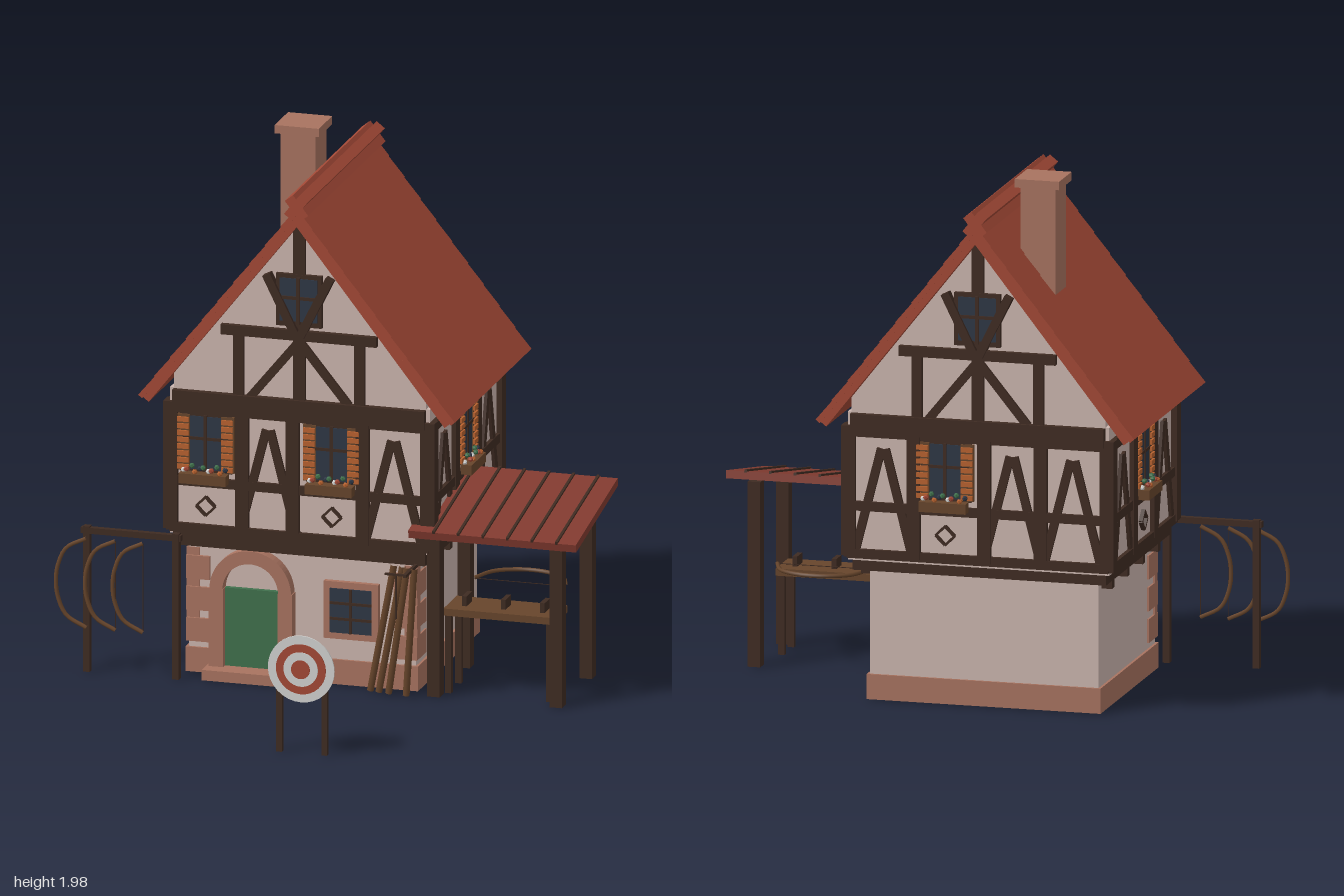
import * as THREE from 'three';

const mat = (name, color, side = THREE.FrontSide) => {
  const m = new THREE.MeshStandardMaterial({ color, side });
  m.name = name;
  return m;
};

export function createModel() {
  const plaster = mat('plaster', 0xcbb5ae), timber = mat('timber', 0x3f2b22), tile = mat('roofTile', 0xa34936);
  const brick = mat('brick', 0xa87360), orange = mat('shutterOrange', 0xb8622f), green = mat('green', 0x40704c);
  const glass = mat('glass', 0x2e3745), white = mat('white', 0xd2d2d0), wood = mat('wood', 0x67452b);
  const porchTile = mat('porchTile', 0x813a2f);

  const root = new THREE.Group();
  root.name = 'timberHouse';
  const group = (name, parent = root) => {
    const g = new THREE.Group();
    g.name = name;
    parent.add(g);
    return g;
  };
  const add = (parent, name, geo, m, x = 0, y = 0, z = 0) => {
    const mesh = new THREE.Mesh(geo, m);
    mesh.name = name;
    mesh.position.set(x, y, z);
    parent.add(mesh);
    return mesh;
  };
  // box given by its limits on each axis
  const box = (p, name, m, x0, x1, y0, y1, z0, z1) =>
    add(p, name, new THREE.BoxGeometry(x1 - x0, y1 - y0, z1 - z0), m, (x0 + x1) / 2, (y0 + y1) / 2, (z0 + z1) / 2);
  // straight bar between two points on a wall face
  const bar = (p, name, x0, y0, x1, y1, w, z0 = -0.01, z1 = 0.015, m = timber) => {
    const b = box(p, name, m, -w / 2, w / 2, 0, Math.hypot(x1 - x0, y1 - y0), z0, z1);
    b.position.set((x0 + x1) / 2, (y0 + y1) / 2, (z0 + z1) / 2);
    b.rotation.z = Math.atan2(x0 - x1, y1 - y0);
  };
  const CX = -0.08, CZ = -0.4;

  // ground floor with plinth and corner stones
  const ground = group('groundFloor');
  box(ground, 'groundWall', plaster, -0.52, 0.355, 0.001, 0.5, -0.77, 0);
  box(ground, 'plinth', brick, -0.53, 0.365, 0.002, 0.097, -0.78, 0.01);
  for (const s of [-1, 1]) {
    const edge = s < 0 ? -0.527 : 0.362, inner = edge - s * 0.09, narrow = edge - s * 0.05;
    for (let i = 0; i < 3; i++) {
      const y = 0.12 + i * 0.12;
      box(ground, 'cornerStone', brick, Math.min(edge, inner), Math.max(edge, inner), y, y + 0.09, -0.11, 0.012);
      box(ground, 'smallCornerStone', brick, Math.min(edge, narrow), Math.max(edge, narrow), y + 0.09, y + 0.12, -0.03, 0.004);
    }
  }

  // arched door
  const door = group('door');
  box(door, 'doorPanel', green, -0.375, -0.165, 0.03, 0.34, 0, 0.02);
  box(door, 'doorStep', brick, -0.44, -0.1, 0, 0.04, 0, 0.1);
  for (const x of [-0.43, -0.165]) box(door, 'doorJamb', brick, x, x + 0.055, 0.03, 0.34, 0, 0.045);
  const arch = new THREE.Shape();
  arch.absarc(0, 0, 0.157, 0, Math.PI, false);
  arch.absarc(0, 0, 0.107, Math.PI, 0, true);
  add(door, 'doorArch', new THREE.ExtrudeGeometry(arch, { depth: 0.045, bevelEnabled: false, curveSegments: 16 }), brick, -0.27, 0.338, 0);

  // ground floor window
  const low = group('groundWindow');
  box(low, 'windowSurround', brick, 0.005, 0.215, 0.18, 0.4, 0, 0.02);
  box(low, 'windowPane', glass, 0.03, 0.19, 0.205, 0.375, 0.018, 0.025);
  box(low, 'windowMullion', timber, 0.105, 0.115, 0.205, 0.375, 0.02, 0.03);
  for (const y of [0.255, 0.315]) box(low, 'windowBar', timber, 0.03, 0.19, y, y + 0.01, 0.02, 0.029);

  // jettied upper floor
  const upper = group('upperFloor');
  box(upper, 'upperWall', plaster, -0.58, 0.42, 0.54, 1.1, -0.84, 0.04);
  box(upper, 'jettyBeam', timber, -0.565, 0.405, 0.5, 0.56, -0.83, 0.055);
  for (const z of [-0.085, -0.295, -0.505, -0.715]) box(upper, 'joist', timber, -0.56, 0.4, 0.465, 0.5, z - 0.016, z + 0.016);
  for (const x of [-0.575, 0.415]) for (const z of [-0.83, 0.03])
    box(upper, 'cornerPost', timber, x - 0.027, x + 0.027, 0.56, 1.05, z - 0.027, z + 0.027);

  const flowerColors = [white, tile, green, orange, glass, green];
  const shutteredWindow = (p, x) => {
    const g = group('shutteredWindow', p);
    g.position.x = x;
    box(g, 'windowFrame', timber, -0.1, 0.1, 0.785, 1.01, -0.01, 0.008);
    box(g, 'windowPane', glass, -0.09, 0.09, 0.795, 1.0, 0.004, 0.011);
    box(g, 'windowMullion', timber, -0.006, 0.006, 0.79, 1.005, 0.005, 0.016);
    box(g, 'windowBar', timber, -0.09, 0.09, 0.91, 0.921, 0.005, 0.015);
    for (const s of [-1, 1]) {
      box(g, 'shutterBack', wood, s * 0.085 - 0.025, s * 0.085 + 0.025, 0.79, 1.005, 0, 0.014);
      for (let i = 0; i < 8; i++)
        box(g, 'shutterSlat', orange, s * 0.085 - 0.022, s * 0.085 + 0.022, 0.795 + i * 0.026, 0.813 + i * 0.026, 0.01, 0.022);
    }
    box(g, 'flowerBox', wood, -0.09, 0.09, 0.75, 0.788, 0.012, 0.055);
    for (let i = 0; i < 11; i++)
      add(g, 'flower', new THREE.IcosahedronGeometry(0.011, 0), flowerColors[i % 6], -0.08 + i * 0.016, 0.795 + (i % 3) * 0.009, 0.025 + (i % 2) * 0.018);
    // diamond ornament under the sill
    const d = 0.036, y = 0.655;
    for (const a of [-1, 1]) for (const b of [-1, 1]) bar(g, 'diamond', a * d, y, 0, y + b * d, 0.009);
  };
  const braces = (p, x) => {
    for (const s of [-1, 1]) bar(p, 'angledBrace', x + s * 0.008, 0.968, x + s * 0.108, 0.575, 0.032, -0.01, 0.012);
  };
  // one framed face: posts, rails, then bays
  const framedFace = (name, pos, turn, half, posts, windows, crosses) => {
    const g = group(name, upper);
    g.position.set(...pos);
    g.rotation.y = turn;
    box(g, 'topRail', timber, -half, half, 1.01, 1.05, -0.01, 0.016);
    box(g, 'middleRail', timber, -half, half, 0.73, 0.765, -0.01, 0.014);
    box(g, 'bottomRail', timber, -half, half, 0.55, 0.585, -0.01, 0.016);
    for (const x of posts) box(g, 'post', timber, x - 0.025, x + 0.025, 0.56, 1.05, -0.01, 0.018);
    windows.forEach(x => shutteredWindow(g, x));
    crosses.forEach(x => braces(g, x));
    return g;
  };
  const front = framedFace('frontFrame', [CX, 0, 0.04], 0, 0.5, [-0.22, -0.025, 0.245], [-0.36, 0.125], [-0.12, 0.362]);
  const back = framedFace('backFrame', [CX, 0, -0.84], Math.PI, 0.5, [-0.245, 0.025, 0.24], [-0.125], [-0.362, 0.13, 0.362]);
  framedFace('leftFrame', [0.42, 0, CZ], Math.PI / 2, 0.44, [-0.14, 0.14], [0], [-0.28, 0.28]);
  framedFace('rightFrame', [-0.58, 0, CZ], -Math.PI / 2, 0.44, [-0.14, 0.14], [0], [-0.28, 0.28]);

  // gable prism with framing on both ends
  const gable = new THREE.Shape([[-0.485, 1.09], [0.485, 1.09], [0.485, 1.155], [0, 1.775], [-0.485, 1.155]].map(p => new THREE.Vector2(...p)));
  add(upper, 'gableWall', new THREE.ExtrudeGeometry(gable, { depth: 0.88, bevelEnabled: false }), plaster, CX, 0, -0.84);
  for (const g of [front, back]) {
    box(g, 'gableSill', timber, -0.485, 0.485, 1.025, 1.097, -0.01, 0.026);
    box(g, 'kingPost', timber, -0.023, 0.023, 1.09, 1.77, -0.01, 0.015);
    box(g, 'collarBeam', timber, -0.3, 0.3, 1.327, 1.365, -0.01, 0.022);
    for (const s of [-1, 1]) {
      box(g, 'gablePost', timber, s * 0.233 - 0.02, s * 0.233 + 0.02, 1.09, 1.33, -0.01, 0.015);
      bar(g, 'gableBrace', s * 0.19, 1.09, s * 0.01, 1.31, 0.032, -0.01, 0.013);
      bar(g, 'windowBrace', s * 0.122, 1.575, s * 0.008, 1.345, 0.032, 0, 0.032);
    }
    box(g, 'atticFrame', timber, -0.088, 0.088, 1.38, 1.58, -0.01, 0.017);
    box(g, 'atticPane', glass, -0.072, 0.072, 1.4, 1.565, 0.013, 0.02);
    box(g, 'atticMullion', timber, -0.007, 0.007, 1.39, 1.57, 0.014, 0.026);
    box(g, 'atticBar', timber, -0.08, 0.08, 1.485, 1.497, 0.014, 0.025);
  }

  // steep roof laid in courses, mirrored about the ridge
  const roof = group('roof');
  for (const turn of [0, Math.PI]) {
    const side = group('roofSide', roof), slope = group('roofSlope', side);
    side.position.set(CX, 1.848, -0.4025);
    side.rotation.y = turn;
    slope.rotation.z = -0.904;
    const n = 10, step = 0.984 / n;
    box(slope, 'roofBoard', tile, 0, 0.98, -0.047, -0.012, -0.486, 0.486);
    for (let i = 0; i < n; i++) {
      const c = box(slope, 'tileCourse', tile, 0, step + 0.004, -0.02, 0, -0.4875, 0.4875);
      c.position.set((i + 0.5) * step, -0.012, 0);
      c.rotation.z = 0.035;
    }
    box(slope, 'ridgeTile', tile, -0.045, 0.05, -0.02, 0.02, -0.492, 0.492);
  }
  const chimney = group('chimney');
  box(chimney, 'chimneyStack', brick, -0.32, -0.185, 1.3, 1.95, -0.645, -0.505);
  box(chimney, 'chimneyCap', brick, -0.338, -0.168, 1.943, 1.975, -0.66, -0.49);

  // lean-to porch
  const porch = group('porch');
  for (const [x, z] of [[0.438, 0.028], [0.908, 0.028], [0.908, -0.355], [0.438, -0.355]])
    box(porch, 'porchPost', timber, x - 0.024, x + 0.024, 0, z > 0 ? 0.64 : 0.7, z - 0.026, z + 0.026);
  const cover = group('porchRoof', porch);
  cover.position.set(0, 0.685, -0.1675);
  cover.rotation.x = 0.19;
  box(cover, 'porchBoards', porchTile, 0.355, 1, -0.016, 0.014, -0.272, 0.272);
  for (let i = 0; i < 6; i++) box(cover, 'porchBatten', timber, 0.448 + i * 0.0945, 0.458 + i * 0.0945, 0.01, 0.021, -0.273, 0.273);

  // curved bow limb bulging toward -x, with its string
  const bow = (p, depth, half, name) => {
    const g = group(name, p);
    const pts = [-1, -0.75, -0.35, 0, 0.35, 0.75, 1].map(t => new THREE.Vector3(-depth * Math.sqrt(1 - t * t), half * t, 0));
    add(g, 'bowLimb', new THREE.TubeGeometry(new THREE.CatmullRomCurve3(pts), 24, 0.008, 6), wood);
    add(g, 'bowString', new THREE.CylinderGeometry(0.0015, 0.0015, half * 2, 4), timber);
    return g;
  };

  // workbench with a bow lying on blocks
  const bench = group('workbench');
  box(bench, 'benchTop', wood, 0.46, 0.885, 0.3, 0.327, -0.17, 0);
  for (const x of [0.475, 0.865]) for (const z of [-0.15, -0.02]) box(bench, 'benchLeg', timber, x - 0.012, x + 0.012, 0, 0.3, z - 0.012, z + 0.012);
  for (const x of [0.525, 0.675, 0.825]) box(bench, 'benchBlock', timber, x - 0.009, x + 0.009, 0.327, 0.365, -0.12, -0.05);
  const lying = bow(bench, 0.16, 0.178, 'lyingBow');
  lying.rotation.set(Math.PI / 2, 0, Math.PI / 2);
  lying.position.set(0.673, 0.37, -0.265);
  lying.rotation.set(-Math.PI / 2, 0, -Math.PI / 2);

  // rack of hanging bows
  const rack = group('bowRack');
  for (const x of [-0.878, -0.535]) box(rack, 'rackPost', timber, x - 0.013, x + 0.013, 0, 0.56, 0.095, 0.121);
  box(rack, 'rackBeam', timber, -0.9, -0.515, 0.532, 0.555, 0.097, 0.12);
  for (const x of [-0.875, -0.763, -0.657]) bow(rack, 0.117, 0.172, 'hangingBow').position.set(x, 0.345, 0.13);

  // staves leaning by the wall, and a small bracket
  const staves = group('staves');
  const from = [[0.2, 0.3], [0.235, 0.335], [0.275, 0.355], [0.345, 0.385]];
  from.forEach(([x0, x1], i) => {
    const a = new THREE.Vector3(x0, 0.01, 0.07 + i * 0.008), b = new THREE.Vector3(x1, 0.51, 0.1 + i * 0.008);
    add(staves, 'stave', new THREE.TubeGeometry(new THREE.LineCurve3(a, b), 1, 0.013, 6), wood);
  });
  const bracket = group('bracket');
  box(bracket, 'bracketArm', timber, 0.365, 0.377, 0.495, 0.507, 0.04, 0.2);
  box(bracket, 'bracketBar', timber, 0.29, 0.377, 0.495, 0.503, 0.178, 0.186);
  box(bracket, 'bracketRod', timber, 0.33, 0.336, 0.33, 0.5, 0.179, 0.185);

  // archery target: shallow disc with painted rings
  const target = group('target');
  target.position.set(0.18, 0.327, 0);
  const disc = (r, z, m, name) => {
    add(target, name, new THREE.CylinderGeometry(r, r, 0.006, 32).rotateX(Math.PI / 2), m, 0, 0, z);
  };
  disc(0.128, 0.882, white, 'targetDisc');
  disc(0.096, 0.885, tile, 'outerRing');
  disc(0.066, 0.888, white, 'middleRing');
  disc(0.036, 0.891, tile, 'bullseye');
  for (const x of [-0.087, 0.087]) box(target, 'targetPost', timber, x - 0.011, x + 0.011, -0.327, 0.063, 0.857, 0.879);

  return root;
}
